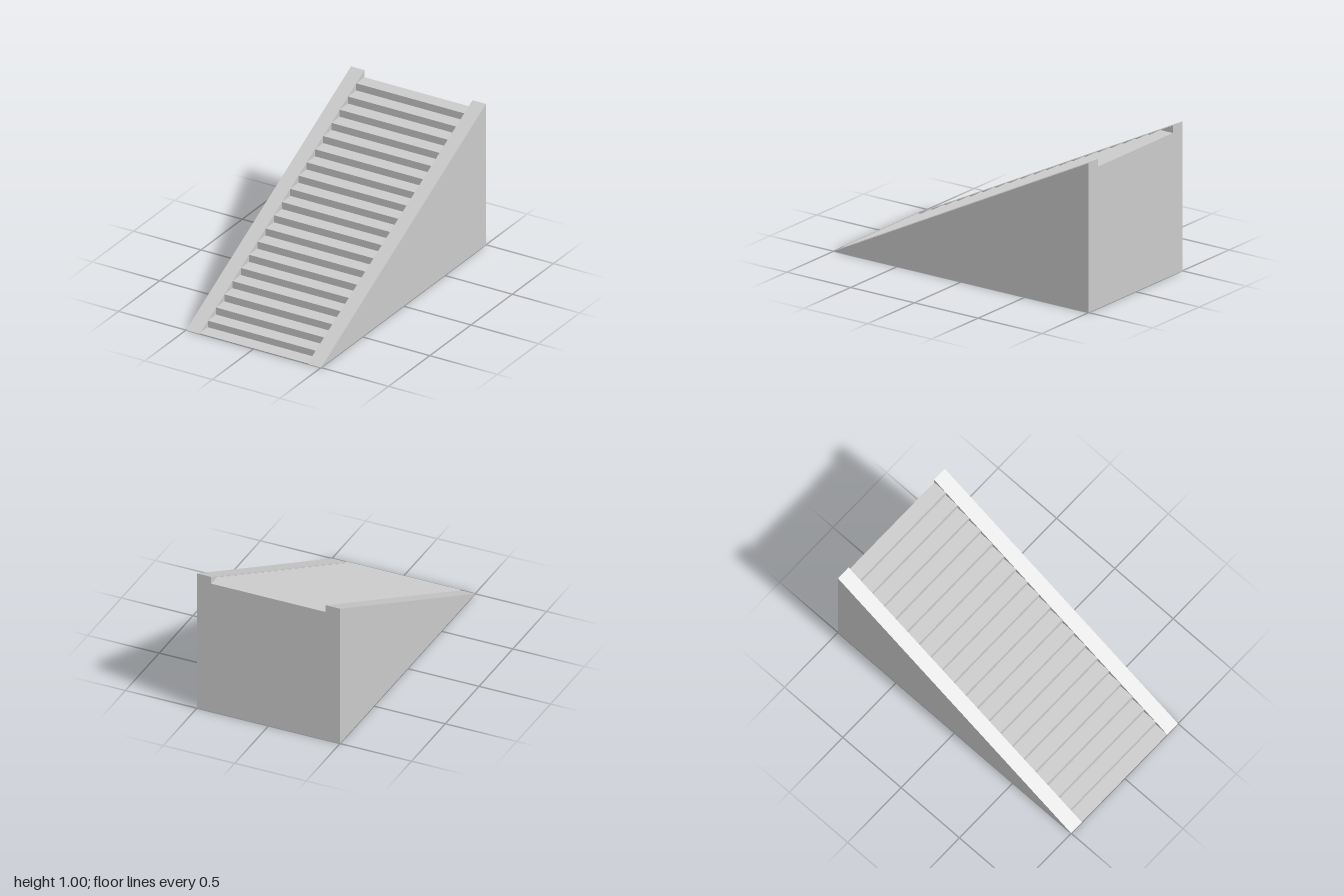
import * as THREE from 'three';

const STEPS = 20, RUN = 0.1, RISE = 0.05, INNER = 0.8, WALL = 0.1;

export function createModel() {
  const model = new THREE.Group();
  model.name = 'staircase';
  const solid = new THREE.MeshStandardMaterial({ color: 0xcccccc, flatShading: true });
  const sheet = new THREE.MeshStandardMaterial({ color: 0xcccccc, flatShading: true, side: THREE.DoubleSide });

  const add = (name, geometry, material, parent = model) => {
    const mesh = new THREE.Mesh(geometry, material);
    mesh.name = name;
    parent.add(mesh);
    return mesh;
  };

  // Solid triangular side walls, drawn in profile and extruded sideways
  const profile = new THREE.Shape([
    new THREE.Vector2(-1, 0), new THREE.Vector2(1, 0), new THREE.Vector2(1, 1),
  ]);
  const wall = new THREE.ExtrudeGeometry(profile, { depth: WALL, bevelEnabled: false });
  wall.rotateY(Math.PI / 2);
  add('leftSideWall', wall, solid).position.x = INNER / 2;
  add('rightSideWall', wall, solid).position.x = -INNER / 2 - WALL;

  // Thin treads and risers, open underneath
  const steps = new THREE.Group();
  steps.name = 'steps';
  model.add(steps);
  const tread = new THREE.PlaneGeometry(INNER, RUN).rotateX(-Math.PI / 2);
  const riser = new THREE.PlaneGeometry(INNER, RISE);
  for (let i = 0; i < STEPS; i++) {
    const z = 1 - i * RUN;
    // the lowest tread sits just clear of the ground
    add('tread', tread, sheet, steps).position.set(0, Math.max(i * RISE, 0.004), z - RUN / 2);
    if (i > 0) add('riser', riser, sheet, steps).position.set(0, (i - 0.5) * RISE, z);
  }

  // Back panel up to the top tread
  const backHeight = (STEPS - 1) * RISE;
  const back = new THREE.PlaneGeometry(INNER, backHeight).rotateY(Math.PI);
  add('backPanel', back, sheet).position.set(0, backHeight / 2, -1);

  return model;
}
